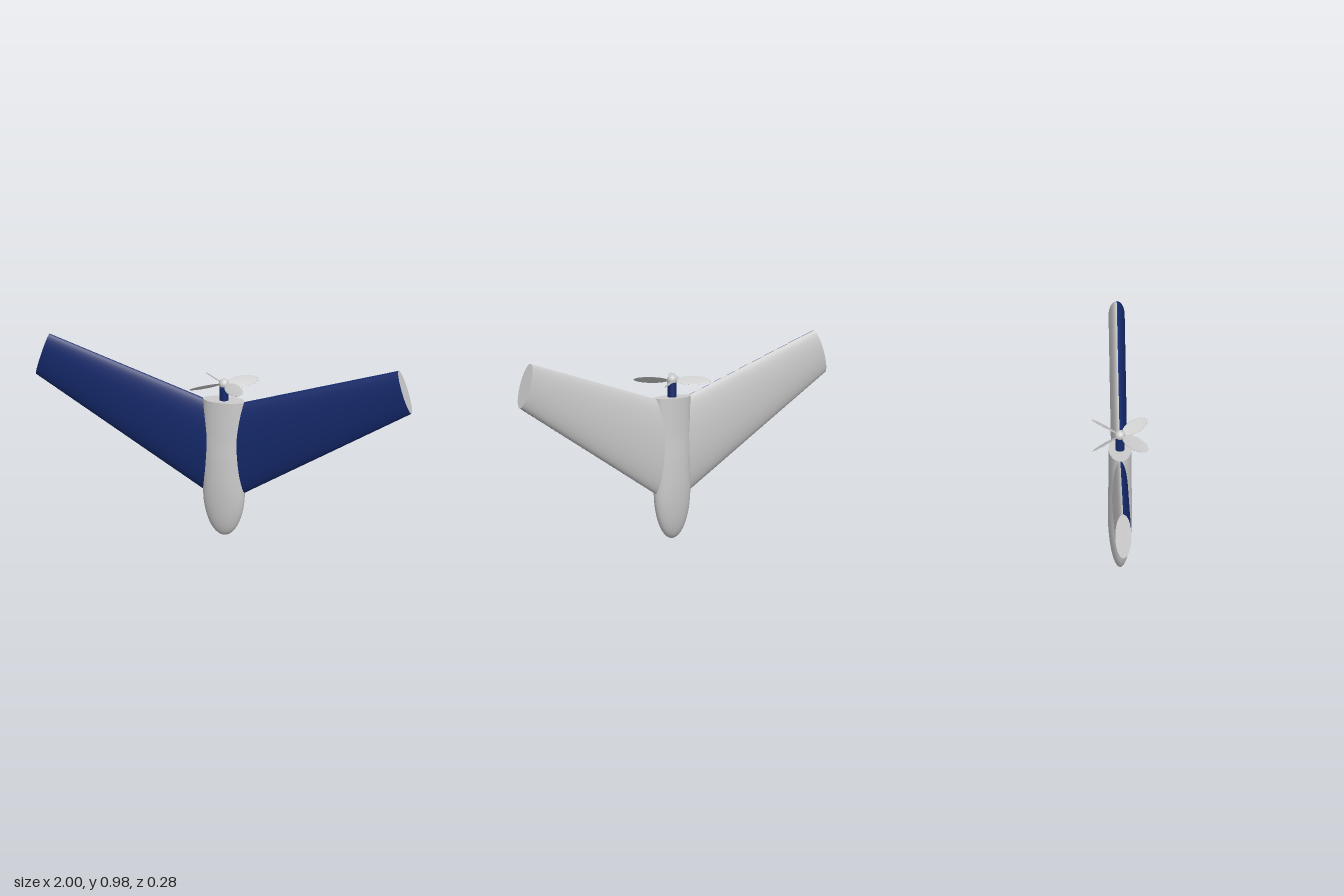
import * as THREE from 'three';

const grey = new THREE.MeshStandardMaterial({ color: 0xcccccc });
const blue = new THREE.MeshStandardMaterial({ color: 0x14296b });

// Skin a list of equal-length rings of Vector3
function loft(rings, closed) {
  const n = rings[0].length, index = [];
  for (let i = 0; i < rings.length - 1; i++) {
    for (let j = 0; j < (closed ? n : n - 1); j++) {
      const k = (j + 1) % n;
      const a = i * n + j, b = i * n + k, c = a + n, d = b + n;
      index.push(a, c, b, b, c, d);
    }
  }
  const g = new THREE.BufferGeometry().setFromPoints(rings.flat());
  g.setIndex(index);
  g.computeVertexNormals();
  return g;
}

// All points of a ring pulled to its centre, for flat end caps
function centreOf(ring) {
  const c = new THREE.Vector3();
  ring.forEach(p => c.add(p));
  c.divideScalar(ring.length);
  return ring.map(() => c.clone());
}

function part(name, geometry, material, parent) {
  const m = new THREE.Mesh(geometry, material);
  m.name = name;
  parent.add(m);
  return m;
}

function buildFuselage(parent) {
  const ring = y => {
    const rx = 0.11 * Math.sqrt(1 - Math.max(0, (0.24 - y) / 0.24) ** 2);
    const body = 0.062 - 0.004 * THREE.MathUtils.smoothstep(y, 0.4, 0.54);
    const rz = body * Math.sqrt(1 - Math.max(0, (0.33 - y) / 0.33) ** 2);
    return Array.from({ length: 48 }, (_, j) => {
      const a = j / 48 * Math.PI * 2;
      return new THREE.Vector3(rx * Math.cos(a), y, rz * Math.sin(a));
    });
  };
  // rings crowd together towards the rounded nose
  const rings = Array.from({ length: 41 }, (_, i) => ring(0.722 * (i / 40) ** 2));
  const rim = rings[40];
  part('fuselage', loft(rings, true), grey, parent);
  part('fuselageEnd', loft([rim, centreOf(rim)], true), grey, parent);
}

function buildWing(parent) {
  // stations from left tip to right tip: leading x, y, trailing x, y
  const half = [[1.0, 0.755, 0.93, 0.977], [0.06, 0.206, 0.06, 0.706], [0, 0.18, 0, 0.69]];
  const mirrored = half.slice(0, 2).reverse().map(([a, b, c, d]) => [-a, b, -c, d]);
  const stations = [...half, ...mirrored];
  const arc = ([lx, ly, tx, ty], from, to, n) => Array.from({ length: n }, (_, j) => {
    const a = from + (to - from) * j / (n - 1);
    const t = (1 + Math.cos(a)) / 2;
    return new THREE.Vector3(lx + (tx - lx) * t, ly + (ty - ly) * t, 0.041 * Math.sin(a));
  });
  const skin = (from, to) => loft(stations.map(s => arc(s, from, to, 33)), false);
  part('wingFront', skin(0, Math.PI), blue, parent);
  part('wingBack', skin(Math.PI, 2 * Math.PI), grey, parent);
  // flat tips
  const left = arc(stations[0], 0, 2 * Math.PI, 65);
  const right = arc(stations[4], 0, 2 * Math.PI, 65);
  part('leftWingTip', loft([centreOf(left), left], false), grey, parent);
  part('rightWingTip', loft([right, centreOf(right)], false), grey, parent);
}

function buildPropeller(parent) {
  const prop = new THREE.Group();
  prop.name = 'propeller';
  prop.position.y = 0.807;
  parent.add(prop);
  part('hub', new THREE.SphereGeometry(0.027, 24, 16), grey, prop);
  const bladeShape = new THREE.SphereGeometry(1, 32, 16).scale(0.088, 0.003, 0.034);
  for (let i = 0; i < 4; i++) {
    const arm = new THREE.Group();
    arm.name = 'bladeArm';
    arm.rotation.y = Math.PI / 4 + i * Math.PI / 2;
    prop.add(arm);
    const blade = part('blade', bladeShape, grey, arm);
    blade.position.x = 0.108;
    blade.rotation.x = 0.6; // pitch
  }
}

export function createModel() {
  const model = new THREE.Group();
  model.name = 'flyingWing';
  buildFuselage(model);
  buildWing(model);
  // motor between fuselage and propeller
  const motor = part('motor', new THREE.CylinderGeometry(0.024, 0.024, 0.1, 32), blue, model);
  motor.position.y = 0.745;
  buildPropeller(model);
  return model;
}
